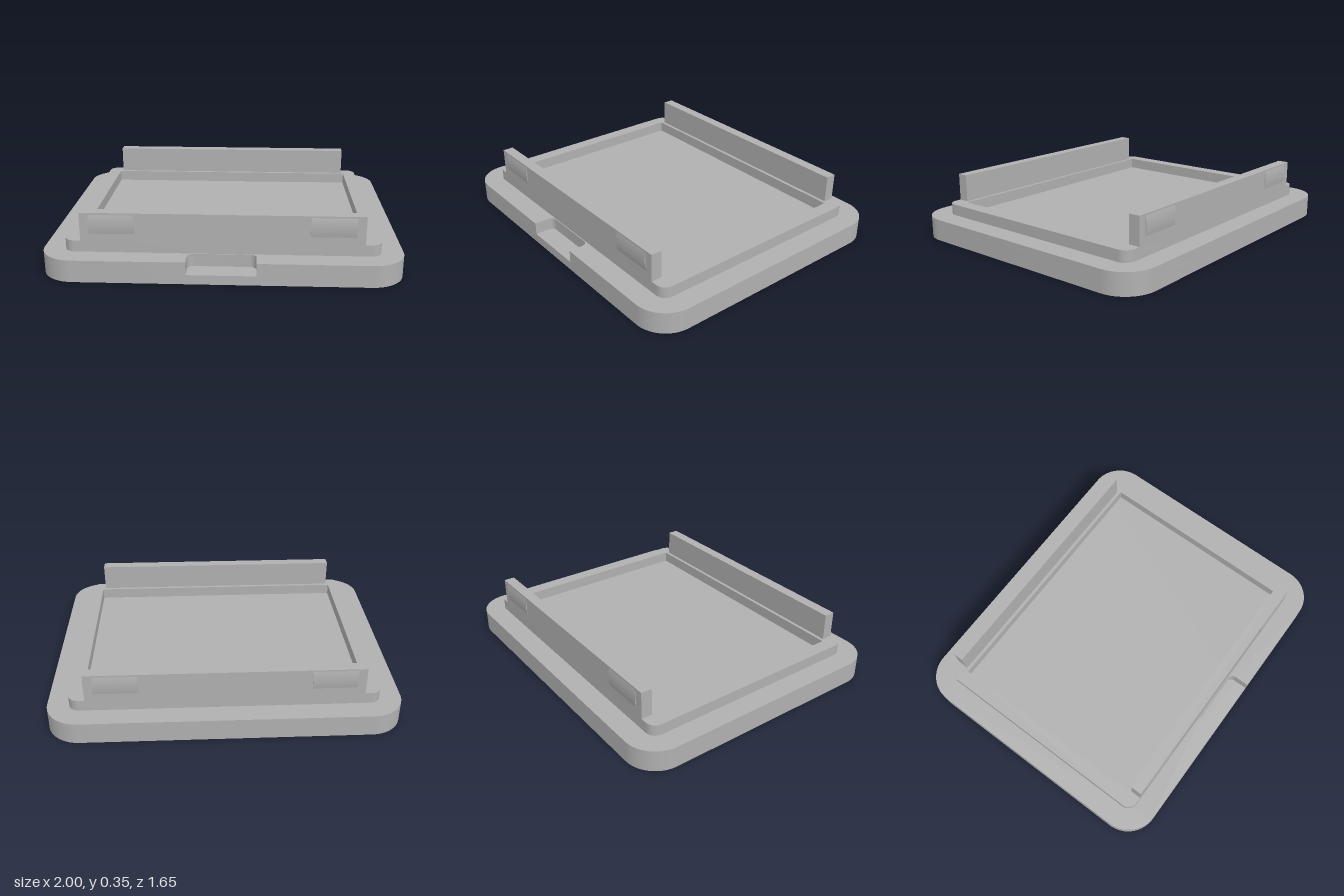
import * as THREE from 'three';
import { toCreasedNormals } from 'three/addons/utils/BufferGeometryUtils.js';

const BASE_X = 1, BASE_Z = 0.825, BASE_R = 0.19;
const NOTCH_Y = 0.054, BASE_TOP = 0.127, RIM_TOP = 0.193, WALL_TOP = 0.355;

// Rounded rectangle outline; an optional notch is cut into the front edge (shape -y = front).
function plateShape(hx, hz, r, notch) {
  const s = new THREE.Shape();
  s.moveTo(-hx + r, -hz);
  if (notch) {
    const { half, depth, radius } = notch;
    const inner = -hz + depth;
    s.lineTo(-half, -hz);
    s.lineTo(-half, inner - radius);
    s.absarc(-half + radius, inner - radius, radius, Math.PI, Math.PI / 2, true);
    s.lineTo(half - radius, inner);
    s.absarc(half - radius, inner - radius, radius, Math.PI / 2, 0, true);
    s.lineTo(half, -hz);
  }
  s.lineTo(hx - r, -hz);
  s.absarc(hx - r, -hz + r, r, -Math.PI / 2, 0, false);
  s.absarc(hx - r, hz - r, r, 0, Math.PI / 2, false);
  s.absarc(-hx + r, hz - r, r, Math.PI / 2, Math.PI, false);
  s.absarc(-hx + r, -hz + r, r, Math.PI, Math.PI * 1.5, false);
  return s;
}

// Lay an outline flat and raise it from y0 to y1.
function slab(shape, y0, y1) {
  const g = new THREE.ExtrudeGeometry(shape, { depth: y1 - y0, bevelEnabled: false, curveSegments: 16 });
  g.rotateX(-Math.PI / 2);
  g.translate(0, y0, 0);
  return toCreasedNormals(g, Math.PI / 6);
}

export function createModel() {
  const model = new THREE.Group();
  model.name = 'snapLid';
  const grey = new THREE.MeshStandardMaterial({ color: 0xb0b0b0 });
  grey.name = 'grey plastic';

  const add = (name, geometry, parent = model) => {
    const mesh = new THREE.Mesh(geometry, grey);
    mesh.name = name;
    parent.add(mesh);
    return mesh;
  };

  // Base plate in two layers, the upper one with the finger notch
  add('basePlate', slab(plateShape(BASE_X, BASE_Z, BASE_R), 0, NOTCH_Y));
  add('notchedPlate', slab(
    plateShape(BASE_X, BASE_Z, BASE_R, { half: 0.19, depth: 0.12, radius: 0.035 }), NOTCH_Y, BASE_TOP));

  // Raised rim around the rectangular pocket
  const rim = plateShape(0.875, 0.7, 0.06);
  rim.holes.push(new THREE.Path([
    new THREE.Vector2(-0.795, -0.615), new THREE.Vector2(-0.795, 0.615),
    new THREE.Vector2(0.795, 0.615), new THREE.Vector2(0.795, -0.615),
  ]));
  add('rim', slab(rim, BASE_TOP, RIM_TOP));

  // Shallow bulge profile for the snap bumps: x = outward, y = up
  const bump = new THREE.Shape();
  bump.moveTo(-0.01, 0.235);
  bump.lineTo(0, 0.235);
  bump.quadraticCurveTo(0.011, 0.29, 0, 0.345);
  bump.lineTo(-0.01, 0.345);
  bump.closePath();
  const bumpExtrude = new THREE.ExtrudeGeometry(bump, { depth: 0.25, bevelEnabled: false, curveSegments: 12 });
  bumpExtrude.translate(0, 0, -0.125);
  bumpExtrude.rotateY(-Math.PI / 2);
  const bumpGeometry = toCreasedNormals(bumpExtrude, Math.PI / 6);

  // Front and back snap walls, each with two bumps on its outer face
  for (const [name, turn] of [['frontWall', 0], ['backWall', Math.PI]]) {
    const side = new THREE.Group();
    side.name = name;
    side.rotation.y = turn;
    const height = WALL_TOP - RIM_TOP;
    const wall = add('wall', new THREE.BoxGeometry(1.56, height, 0.065), side);
    wall.position.set(0, RIM_TOP + height / 2, 0.6675);
    for (const x of [-0.605, 0.605]) {
      add('snapBump', bumpGeometry, side).position.set(x, 0, 0.7);
    }
    model.add(side);
  }
  return model;
}
